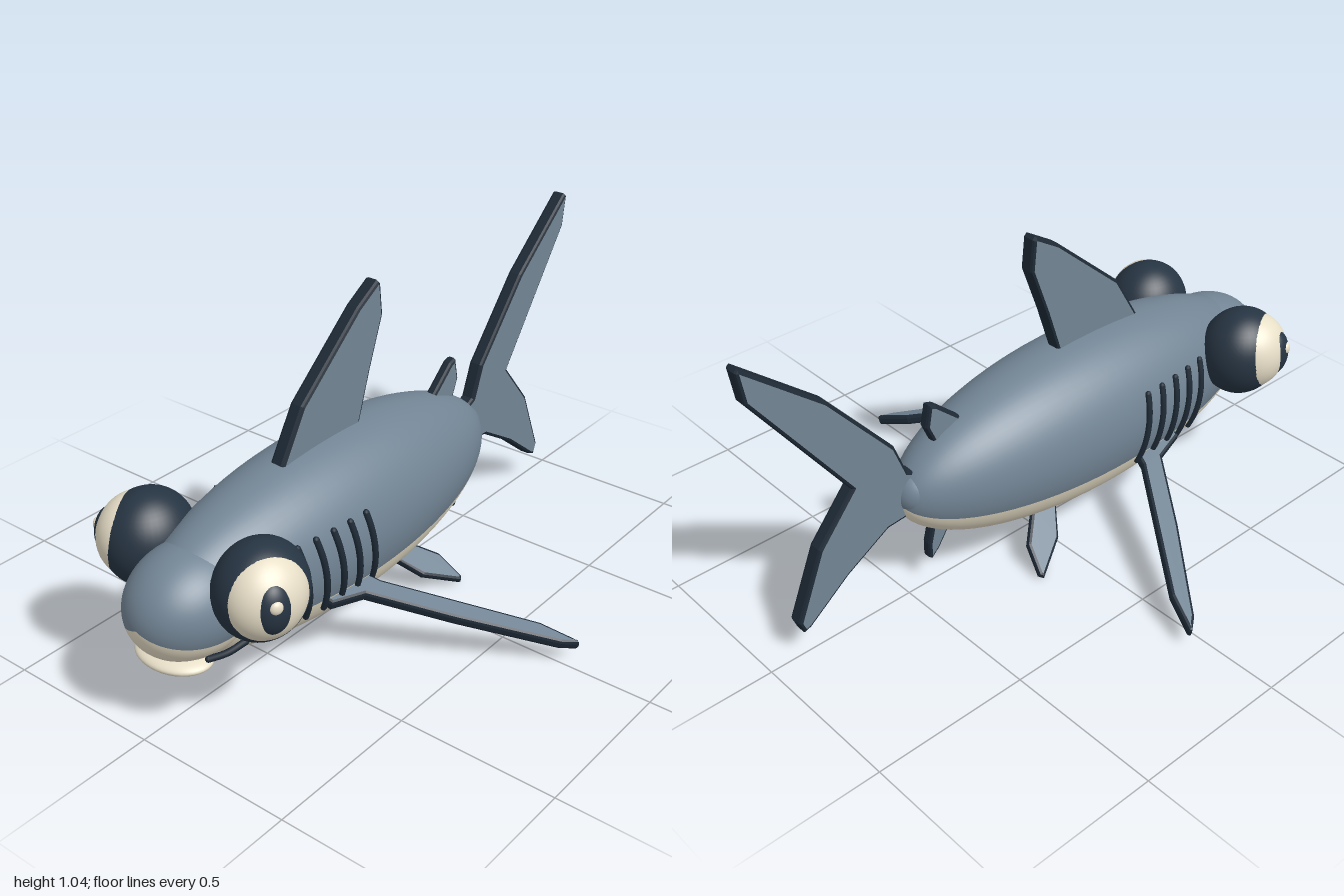
import * as THREE from 'three';

const mat = (color) => new THREE.MeshStandardMaterial({ color });
const SKIN = mat(0x728494), CREAM = mat(0xe8dfc8), DARK = mat(0x263442), EDGE = mat(0x1e2a36);
const rad = THREE.MathUtils.degToRad;

// Main body ellipsoid
const BODY = { c: [0, 0.36, 0.22], r: [0.23, 0.272, 0.74] };

function add(parent, name, geometry, material) {
  const mesh = new THREE.Mesh(geometry, material);
  mesh.name = name;
  parent.add(mesh);
  return mesh;
}

function ellipsoid(parent, name, material, c, r) {
  return add(parent, name, new THREE.SphereGeometry(1, 40, 28).scale(...r).translate(...c), material);
}

// Ellipsoid with its poles along z, split into a coloured back and a pale belly
function twoTone(parent, name, { c, r }) {
  const split = rad(23);
  const part = (start, length) => new THREE.SphereGeometry(1, 40, 40, start, length)
    .rotateX(Math.PI / 2).scale(...r).translate(...c);
  add(parent, name + 'Belly', part(split, Math.PI - 2 * split), CREAM);
  add(parent, name + 'Back', part(Math.PI - split, Math.PI + 2 * split), SKIN);
}

// Flat fin from [z, height] points, with a dark bevelled rim
function fin(parent, name, points, thickness = 0.044) {
  const b = 0.01;
  const shape = new THREE.Shape(points.map((p) => new THREE.Vector2(...p)));
  const depth = thickness - 2 * b;
  const geometry = new THREE.ExtrudeGeometry(shape, {
    depth, bevelEnabled: true, bevelThickness: b, bevelSize: b, bevelOffset: -b, bevelSegments: 2,
  });
  geometry.translate(0, 0, -depth / 2).rotateY(-Math.PI / 2);
  return add(parent, name, geometry, [SKIN, EDGE]);
}

function tube(parent, name, points, radius) {
  const curve = new THREE.CatmullRomCurve3(points.map((p) => new THREE.Vector3(...p)));
  add(parent, name, new THREE.TubeGeometry(curve, 16, radius, 8), EDGE);
  // Rounded ends
  for (const p of [points[0], points[points.length - 1]]) {
    add(parent, name + 'End', new THREE.SphereGeometry(radius, 8, 6).translate(...p), EDGE);
  }
}

// Half width of the body at a given height and length
function bodyX(y, z) {
  const v = (y - BODY.c[1]) / BODY.r[1], w = (z - BODY.c[2]) / BODY.r[2];
  return BODY.r[0] * Math.sqrt(Math.max(0, 1 - v * v - w * w));
}

// Bulging eye: socket, white, pupil and glint along an outward, forward axis
function eye(parent, name, s) {
  const outer = new THREE.Group();
  outer.name = name;
  outer.position.set(s * 0.21, 0.447, 0.735);
  outer.scale.x = 0.9;
  const inner = new THREE.Group();
  inner.rotation.y = s * rad(61);
  ellipsoid(inner, 'eyeSocket', DARK, [0, 0, 0], [0.142, 0.145, 0.142]);
  ellipsoid(inner, 'eyeWhite', CREAM, [0, 0.005, 0.03], [0.127, 0.129, 0.127]);
  ellipsoid(inner, 'pupil', DARK, [0, 0.008, 0.112], [0.06, 0.08, 0.053]);
  ellipsoid(inner, 'eyeGlint', CREAM, [0, 0.03, 0.155], [0.02, 0.02, 0.015]);
  outer.add(inner);
  parent.add(outer);
}

export function createModel() {
  const fish = new THREE.Group();
  fish.name = 'fish';

  // Body, snout, lip and tail root
  twoTone(fish, 'body', BODY);
  twoTone(fish, 'snout', { c: [0, 0.36, 0.79], r: [0.165, 0.165, 0.205] });
  ellipsoid(fish, 'lowerLip', CREAM, [0, 0.221, 0.865], [0.125, 0.029, 0.09]);
  ellipsoid(fish, 'tailRoot', SKIN, [0, 0.375, -0.445], [0.075, 0.078, 0.08]);

  // Fins on the centre line
  const centre = new THREE.Group();
  centre.name = 'centreFins';
  centre.position.x = 0.008;
  fish.add(centre);
  fin(centre, 'dorsalFin', [[0.45, 0.57], [0.44, 0.62], [0.35, 0.77], [0.1, 0.985], [0.01, 1.04],
    [0, 1.03], [-0.01, 0.93], [0.05, 0.77], [0.1, 0.62], [0.11, 0.57]], 0.05);
  fin(centre, 'rearDorsalFin', [[-0.25, 0.52], [-0.28, 0.555], [-0.37, 0.635], [-0.395, 0.643],
    [-0.41, 0.57], [-0.38, 0.5], [-0.36, 0.46]], 0.036);
  fin(centre, 'analFin', [[-0.3, 0.24], [-0.34, 0.18], [-0.38, 0.12], [-0.41, 0.09], [-0.42, 0.1],
    [-0.42, 0.15], [-0.4, 0.23], [-0.38, 0.27]], 0.036);
  fin(centre, 'tailFin', [[-0.44, 0.44], [-0.49, 0.465], [-0.53, 0.57], [-0.74, 0.82], [-0.99, 1.03],
    [-1, 1.02], [-0.985, 0.92], [-0.685, 0.5], [-0.81, 0.35], [-0.9, 0.13], [-0.885, 0.09],
    [-0.86, 0.1], [-0.72, 0.21], [-0.57, 0.3], [-0.45, 0.31]], 0.05);

  for (const [side, s] of [['left', 1], ['right', -1]]) {
    eye(fish, side + 'Eye', s);

    // Pectoral fin, swept back and sloping down
    const pectoral = fin(fish, side + 'PectoralFin', [[0.46, -0.06], [0.45, 0.01], [0.34, 0.045],
      [0.19, 0.27], [0, 0.53], [-0.045, 0.565], [-0.05, 0.555], [-0.01, 0.44], [0.26, 0.035], [0.29, -0.06]], 0.034);
    pectoral.position.set(s * 0.2, 0.235, 0);
    pectoral.rotation.z = -s * rad(109);

    // Pelvic fin
    const pelvic = fin(fish, side + 'PelvicFin', [[0.03, -0.03], [-0.07, -0.03], [-0.15, 0.06],
      [-0.17, 0.16], [-0.157, 0.172], [-0.04, 0.09]], 0.026);
    pelvic.position.set(s * 0.1, 0.12, 0);
    pelvic.rotation.z = -s * rad(130.5);

    // Five gill slits that follow the flank
    for (let i = 0; i < 5; i++) {
      const points = [];
      for (let k = 0; k <= 6; k++) {
        const y = 0.472 - 0.04 * k, z = 0.56 - 0.066 * i - 0.005 * k;
        points.push([s * (bodyX(y, z) + 0.004), y, z]);
      }
      tube(fish, side + 'GillSlit', points, 0.01);
    }

    // Mouth corner
    tube(fish, side + 'MouthCorner', [[s * 0.175, 0.278, 0.765], [s * 0.15, 0.255, 0.81], [s * 0.115, 0.24, 0.85]], 0.01);
  }
  return fish;
}
